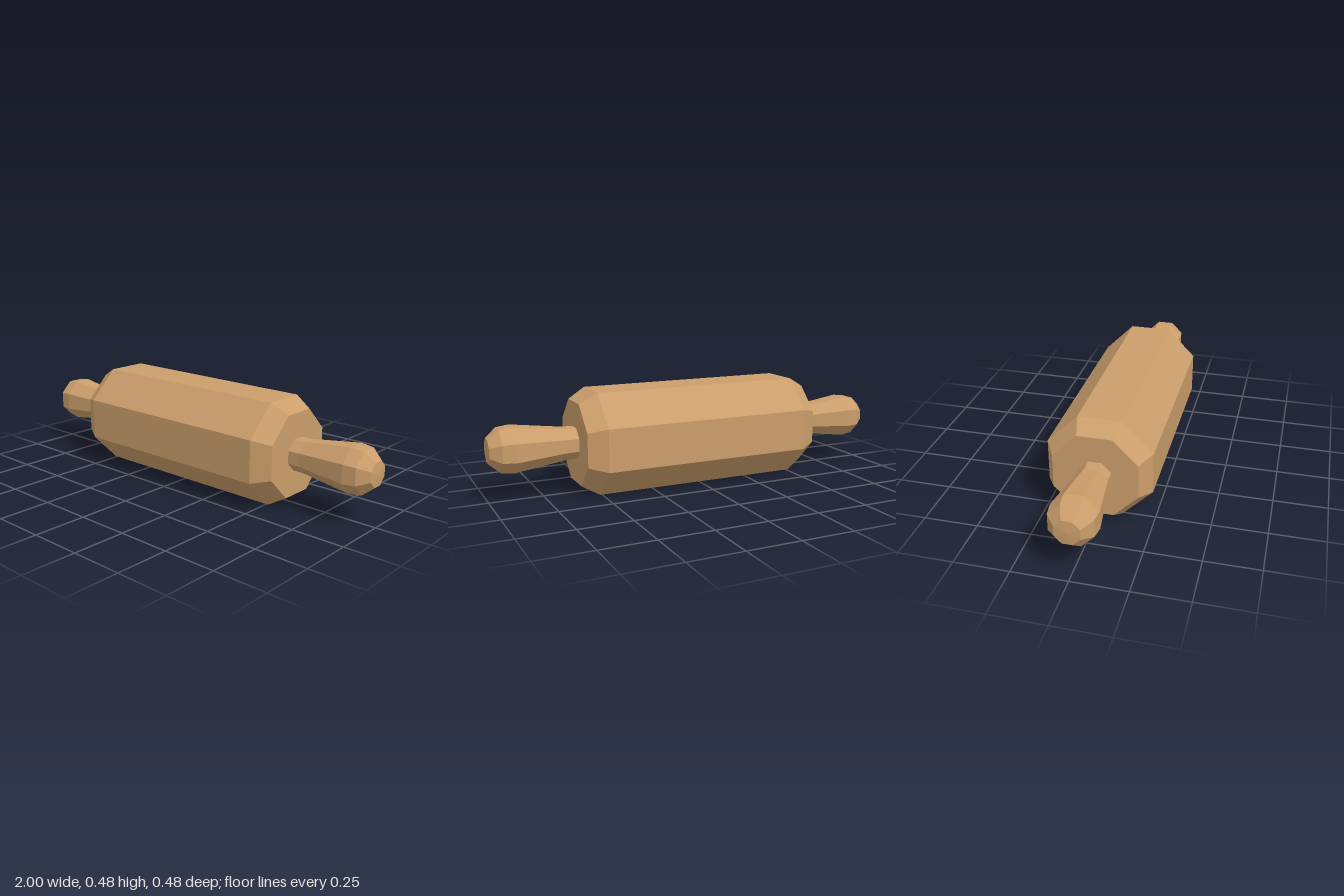
import * as THREE from 'three';

const AXIS_Y = 0.238;
const SIDES = 8;

// Eight-sided turned solid along x, from [x, apothem] pairs, with flats facing up and sideways
function turned(profile) {
  const points = profile.map(([x, a]) => new THREE.Vector2(a / Math.cos(Math.PI / SIDES), x));
  const lathe = new THREE.LatheGeometry(points, SIDES, Math.PI / SIDES);
  lathe.rotateZ(-Math.PI / 2);
  const geometry = lathe.toNonIndexed();
  geometry.computeVertexNormals();
  return geometry;
}

export function createModel() {
  const group = new THREE.Group();
  group.name = 'rollingPin';

  const wood = new THREE.MeshStandardMaterial({ color: 0xcb9e6b, flatShading: true });
  wood.name = 'wood';

  // Roller with bevelled ends
  const roller = new THREE.Mesh(
    turned([[-0.593, 0], [-0.593, 0.191], [-0.51, 0.238], [0.51, 0.238], [0.593, 0.191], [0.593, 0]]),
    wood
  );
  roller.name = 'roller';
  roller.position.y = AXIS_Y;
  group.add(roller);

  // Flared handles with rounded, slightly domed tips
  const handleGeometry = turned([
    [0.57, 0], [0.57, 0.071], [0.65, 0.073], [0.885, 0.103],
    [0.945, 0.096], [0.995, 0.055], [1.0, 0],
  ]);
  for (const [name, turn] of [['leftHandle', 0], ['rightHandle', Math.PI]]) {
    const handle = new THREE.Mesh(handleGeometry, wood);
    handle.name = name;
    handle.position.y = AXIS_Y;
    handle.rotation.y = turn;
    group.add(handle);
  }

  return group;
}
